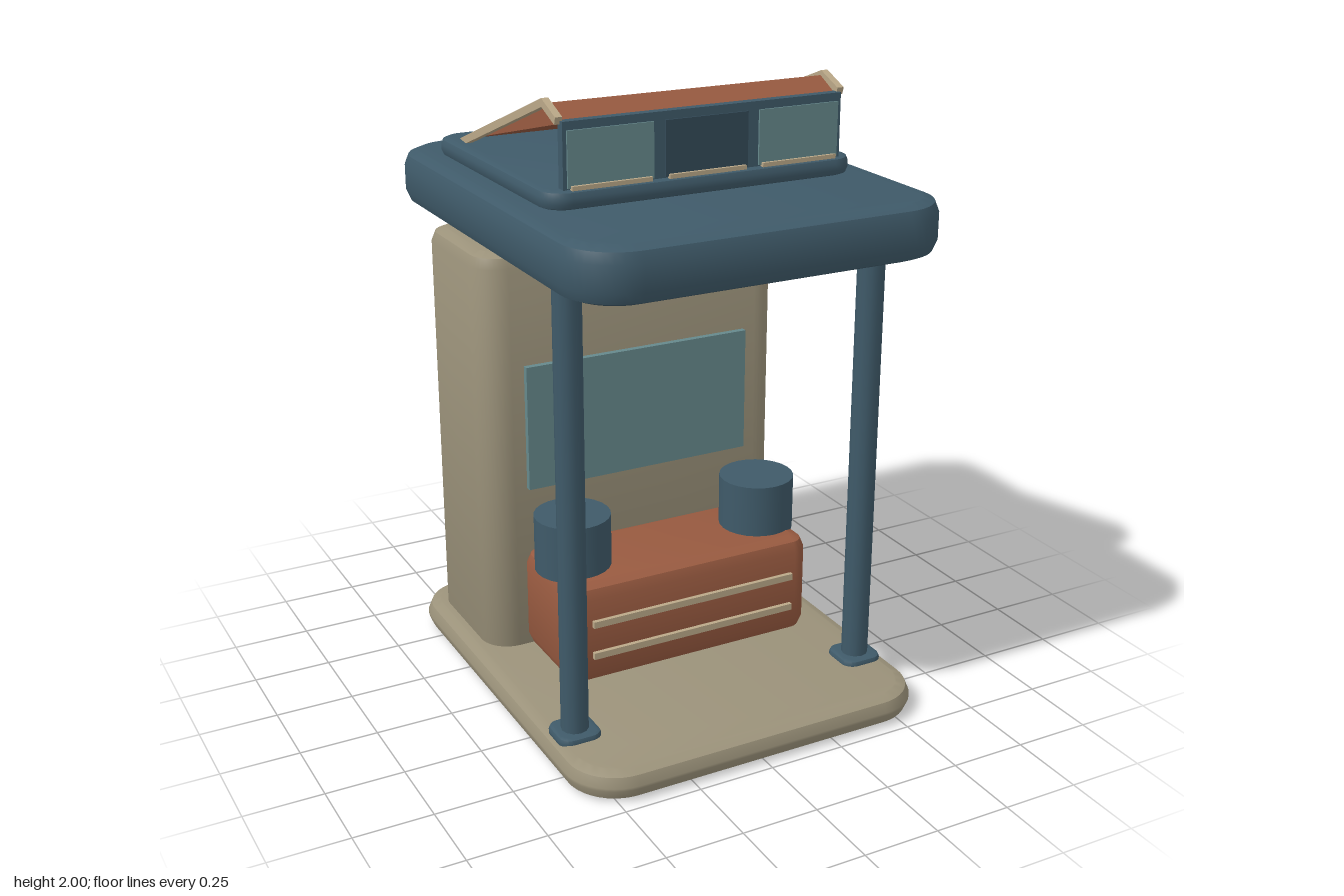
import * as THREE from 'three';
import { toCreasedNormals } from 'three/addons/utils/BufferGeometryUtils.js';

const paint = (name, color) => {
  const m = new THREE.MeshStandardMaterial({ color });
  m.name = name;
  return m;
};

export function createModel() {
  const navy = paint('slate blue', 0x3f5a69);
  const darkNavy = paint('dark slate', 0x334a58);
  const tan = paint('stone', 0x9b927a);
  const cream = paint('cream trim', 0xbaa888);
  const rust = paint('rust', 0x985a40);
  const glass = paint('teal glass', 0x66898c);

  const model = new THREE.Group();
  model.name = 'kiosk';

  const add = (name, geometry, material, x = 0, y = 0, z = 0) => {
    const mesh = new THREE.Mesh(geometry, material);
    mesh.name = name;
    mesh.position.set(x, y, z);
    model.add(mesh);
    return mesh;
  };

  // Box given by its limits
  const box = (name, material, x0, x1, y0, y1, z0, z1) =>
    add(name, new THREE.BoxGeometry(x1 - x0, y1 - y0, z1 - z0), material,
      (x0 + x1) / 2, (y0 + y1) / 2, (z0 + z1) / 2);

  // Rounded rectangle in plan, raised along y, with bevelled rims
  const slab = (w, d, h, r, b) => {
    const hx = w / 2 - b, hz = d / 2 - b, c = r - b;
    const s = new THREE.Shape();
    s.moveTo(hx, -hz + c);
    s.absarc(hx - c, hz - c, c, 0, Math.PI / 2);
    s.absarc(-hx + c, hz - c, c, Math.PI / 2, Math.PI);
    s.absarc(-hx + c, -hz + c, c, Math.PI, Math.PI * 1.5);
    s.absarc(hx - c, -hz + c, c, Math.PI * 1.5, Math.PI * 2);
    const g = new THREE.ExtrudeGeometry(s, {
      depth: h - 2 * b, bevelThickness: b, bevelSize: b, bevelSegments: 2, curveSegments: 5,
    });
    g.rotateX(-Math.PI / 2);
    g.translate(0, b, 0);
    return toCreasedNormals(g, 0.7);
  };

  // Profile of [z, y] points, extruded across x and centred on it
  const crossPrism = (points, width) => {
    const s = new THREE.Shape(points.map(([z, y]) => new THREE.Vector2(-z, y)));
    const g = new THREE.ExtrudeGeometry(s, { depth: width, bevelEnabled: false });
    g.translate(0, 0, -width / 2);
    g.rotateY(Math.PI / 2);
    return g;
  };

  // Floor and main canopy
  add('basePlate', slab(1.21, 1.44, 0.095, 0.17, 0.043), tan);
  add('canopy', slab(1.21, 1.48, 0.17, 0.18, 0.045), navy, 0, 1.53, 0);

  // Rear cabinet with its display
  add('rearCabinet', slab(1.08, 0.485, 1.4, 0.1, 0.045), tan, 0, 0.05, -0.393);
  box('displayPanel', glass, -0.4, 0.4, 0.66, 1.08, -0.155, -0.13);

  // Counter with trim strips
  add('counter', slab(0.875, 0.38, 0.34, 0.06, 0.045), rust, 0, 0.13, 0.06);
  for (const y of [0.235, 0.345]) {
    box('counterTrim', cream, -0.363, 0.363, y - 0.011, y + 0.011, 0.24, 0.264);
  }

  // Posts, feet and drums on both sides
  for (const side of [1, -1]) {
    add('frontPost', new THREE.CylinderGeometry(0.043, 0.043, 1.46, 12), navy, side * 0.51, 0.815, 0.424);
    add('postFoot', slab(0.14, 0.14, 0.035, 0.04, 0.012), navy, side * 0.51, 0.077, 0.424);
    add('counterDrum', new THREE.CylinderGeometry(0.123, 0.123, 0.185, 24), navy, side * 0.338, 0.55, 0.06);
  }

  // Roof platform and its windowed front wall
  add('roofPlatform', slab(1.03, 0.88, 0.058, 0.08, 0.02), navy, 0, 1.698, -0.117);
  box('roofFrontWall', navy, -0.458, 0.458, 1.75, 1.95, 0.272, 0.302);
  [-0.31, 0, 0.31].forEach((x, i) => {
    box(i === 1 ? 'roofDoor' : 'roofWindow', i === 1 ? darkNavy : glass,
      x - 0.136, x + 0.136, 1.76, 1.925, 0.3, 0.308);
    box('windowSill', cream, x - 0.127, x + 0.127, 1.755, 1.768, 0.3, 0.318);
  });

  // Sloping wedge roof held between two bent rails
  add('slopedRoof', crossPrism([[0.285, 1.942], [0.2, 1.985], [-0.395, 1.768]], 0.9), rust);
  for (const side of [1, -1]) {
    add('roofRail', crossPrism([
      [0.292, 1.962], [0.2, 2.0], [-0.435, 1.762], [-0.385, 1.756], [0.2, 1.975], [0.285, 1.94],
    ], 0.022), cream, side * 0.463);
  }

  return model;
}
